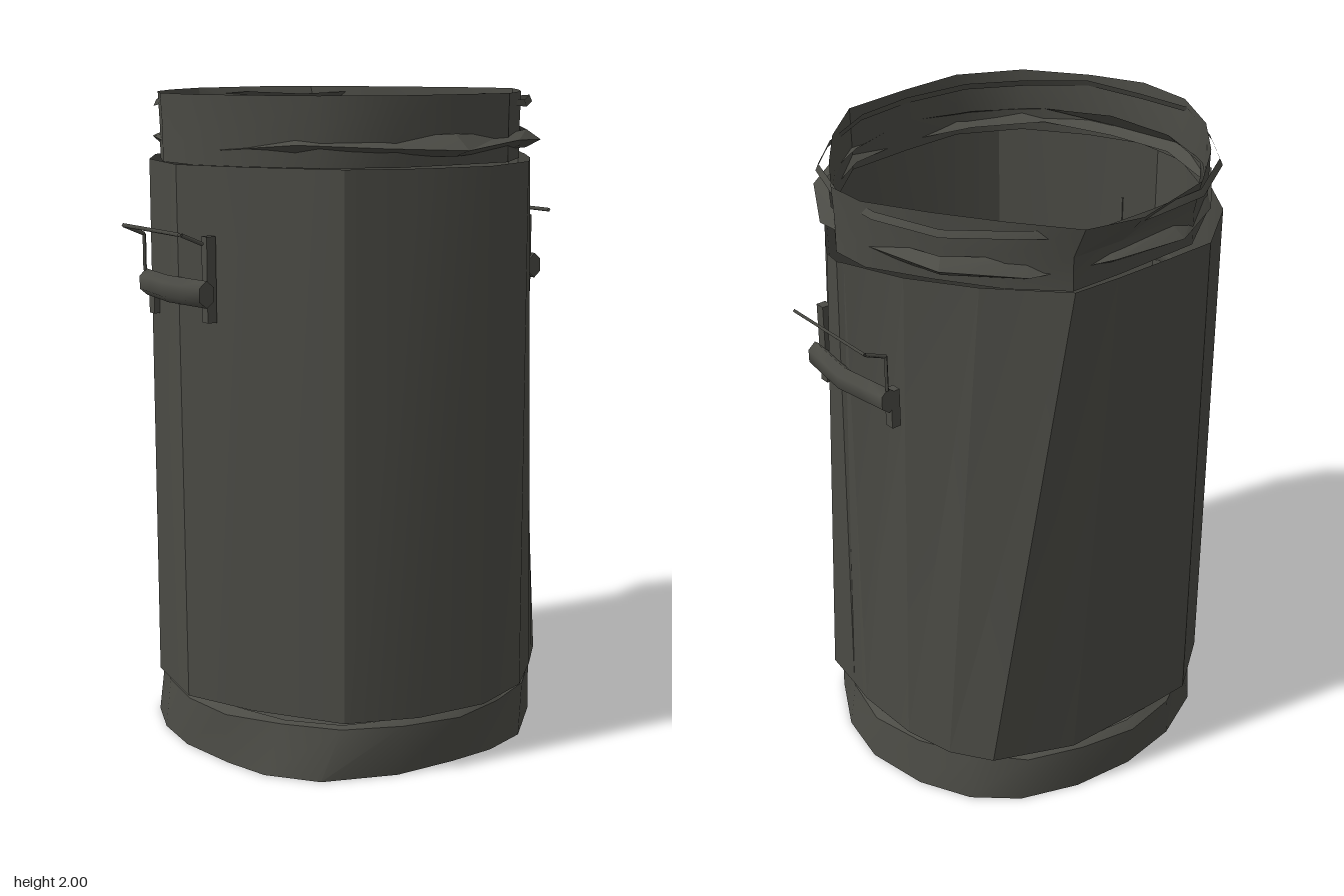
import * as THREE from 'three';
import { toCreasedNormals } from 'three/addons/utils/BufferGeometryUtils.js';

// Open skin through stacked rings; each ring is { y, pts: [[x, z], ...] }
function loft(rings, crease = 0.5) {
  const n = rings[0].pts.length, pos = [], idx = [];
  for (const { y, pts } of rings) {
    pts.forEach(([x, z], i) => pos.push(x, Array.isArray(y) ? y[i % y.length] : y, z));
  }
  for (let r = 0; r < rings.length - 1; r++) {
    for (let i = 0; i < n; i++) {
      const a = r * n + i, b = r * n + (i + 1) % n;
      idx.push(a, b, b + n, a, b + n, a + n);
    }
  }
  const g = new THREE.BufferGeometry();
  g.setAttribute('position', new THREE.Float32BufferAttribute(pos, 3));
  g.setIndex(idx);
  return toCreasedNormals(g, crease);
}

// Slightly uneven outline with separate front and back depth
function outline(n, rx, front, back, wobble) {
  return Array.from({ length: n }, (_, i) => {
    const a = (i / n) * Math.PI * 2;
    const k = 1 - wobble * (0.5 - 0.5 * Math.cos(i * 2.4));
    const c = Math.cos(a);
    return [Math.sin(a) * rx * k, c * (c > 0 ? front : back) * k];
  });
}

export function createModel() {
  const model = new THREE.Group();
  model.name = 'bin';
  const metal = new THREE.MeshStandardMaterial({ color: 0x4b4b45, side: THREE.DoubleSide });
  metal.name = 'dark grey metal';
  const add = (name, geometry, parent = model) => {
    const mesh = new THREE.Mesh(geometry, metal);
    mesh.name = name;
    parent.add(mesh);
    return mesh;
  };

  // Dented body wall, with folds slanting down the left side and the back
  const bodyTop = [[.08, .62], [.3, .52], [.42, .385], [.53, .23], [.62, .09], [.63, .03], [.62, .01],
    [.55, -.17], [.43, -.35], [.25, -.54], [.1, -.55], [-.1, -.555], [-.25, -.555], [-.44, -.42],
    [-.57, -.22], [-.63, .05], [-.525, .27], [-.36, .515], [-.15, .6]];
  const bodyBottom = [[.08, .62], [.28, .55], [.43, .42], [.5, .35], [.55, .3], [.57, .16], [.585, .07],
    [.58, -.15], [.54, -.31], [.46, -.43], [.22, -.54], [-.1, -.555], [-.25, -.555], [-.44, -.42],
    [-.57, -.22], [-.62, .05], [-.525, .27], [-.36, .515], [-.15, .6]];
  add('body', loft([{ y: 0.18, pts: bodyBottom }, { y: 1.8, pts: bodyTop }], 0.4));

  // Base band, floor and the crumpled seam above the band
  const foot = [[0, .575], [.15, .57], [.3, .525], [.48, .36], [.58, .18], [.615, 0], [.58, -.2],
    [.5, -.36], [.38, -.47], [.2, -.54], [0, -.565], [-.2, -.54], [-.38, -.46], [-.52, -.32],
    [-.58, -.17], [-.6, 0], [-.57, .2], [-.53, .34], [-.42, .48], [-.2, .565]];
  add('baseBand', loft([
    { y: 0, pts: foot },
    { y: 0.15, pts: outline(20, 0.6, 0.605, 0.585, 0.03) },
  ]));
  const floor = new THREE.ShapeGeometry(new THREE.Shape(foot.map(([x, z]) => new THREE.Vector2(x, -z))));
  add('floor', floor.rotateX(-Math.PI / 2));
  add('lowerSeam', loft([
    { y: 0.15, pts: outline(20, 0.6, 0.605, 0.585, 0.03) },
    { y: [0.172, 0.17, 0.155, 0.155, 0.165], pts: outline(20, 0.57, 0.58, 0.555, 0.02) },
  ]));

  // Neck and rim, pulled out to a point at the back
  const neck = [[0, .535], [.22, .52], [.38, .38], [.5, .225], [.595, .08], [.59, -.05], [.49, -.23],
    [.38, -.4], [.25, -.53], [.08, -.535], [-.2, -.53], [-.38, -.41], [-.51, -.26], [-.6, -.08],
    [-.6, .1], [-.52, .26], [-.39, .435], [-.2, .535]];
  const lip = neck.map(([x, z]) => [x * 1.01, z < -0.5 ? z - 0.085 + Math.abs(x - 0.08) * 0.22 : z]);
  add('rim', loft([{ y: 1.8, pts: neck }, { y: 1.9, pts: neck }, { y: 2, pts: lip }]));
  add('rimHoop', loft([
    { y: [1.955, 1.965], pts: outline(18, 0.61, 0.535, 0.6, 0.03) },
    { y: [1.975, 1.985], pts: outline(18, 0.6, 0.53, 0.59, 0.03) },
  ]));

  // Uneven bead below the rim
  add('upperBead', loft([
    { y: [1.825, 1.835, 1.83], pts: outline(15, 0.575, 0.55, 0.54, 0.03) },
    { y: [1.845, 1.865, 1.855], pts: outline(15, 0.605, 0.615, 0.585, 0.03) },
    { y: [1.89, 1.88, 1.885], pts: outline(15, 0.575, 0.55, 0.54, 0.03) },
  ], 0.3));

  // Side handles: a bent grip, mounting strips and a thin wire bail
  for (const side of [1, -1]) {
    const handle = new THREE.Group();
    handle.name = side > 0 ? 'leftHandle' : 'rightHandle';
    model.add(handle);

    const grip = new THREE.CylinderGeometry(0.04, 0.04, 0.36, 6, 4).rotateX(Math.PI / 2);
    const p = grip.attributes.position;
    for (let i = 0; i < p.count; i++) {
      const bow = 1 - Math.abs(p.getZ(i)) / 0.18;
      p.setX(i, side * (p.getX(i) * 0.7 + 0.025 * bow));
    }
    // Mirroring turns the corners round, so reverse them on that side
    if (side < 0) grip.index.array.reverse();
    grip.computeVertexNormals();
    add('grip', grip, handle).position.set(side * 0.615, 1.435, 0.01);

    for (const z of [0.165, -0.155]) {
      const h = z > 0 ? 0.25 : 0.12;
      add('mountStrip', new THREE.BoxGeometry(0.03, h, 0.03), handle)
        .position.set(side * 0.592, z > 0 ? 1.475 : 1.4, z);
    }

    const rod = (x0, y0, z0, x1, y1, z1) => {
      const a = new THREE.Vector3(side * x0, y0, z0), b = new THREE.Vector3(side * x1, y1, z1);
      add('bail', new THREE.TubeGeometry(new THREE.LineCurve3(a, b), 1, 0.006, 4), handle);
    };
    rod(0.62, 1.58, -0.17, 0.69, 1.61, -0.17);
    rod(0.69, 1.61, -0.17, 0.69, 1.61, 0.17);
    rod(0.62, 1.47, -0.17, 0.62, 1.58, -0.17);
    if (side < 0) rod(0.62, 1.58, 0.18, 0.69, 1.61, 0.18);
  }
  return model;
}
